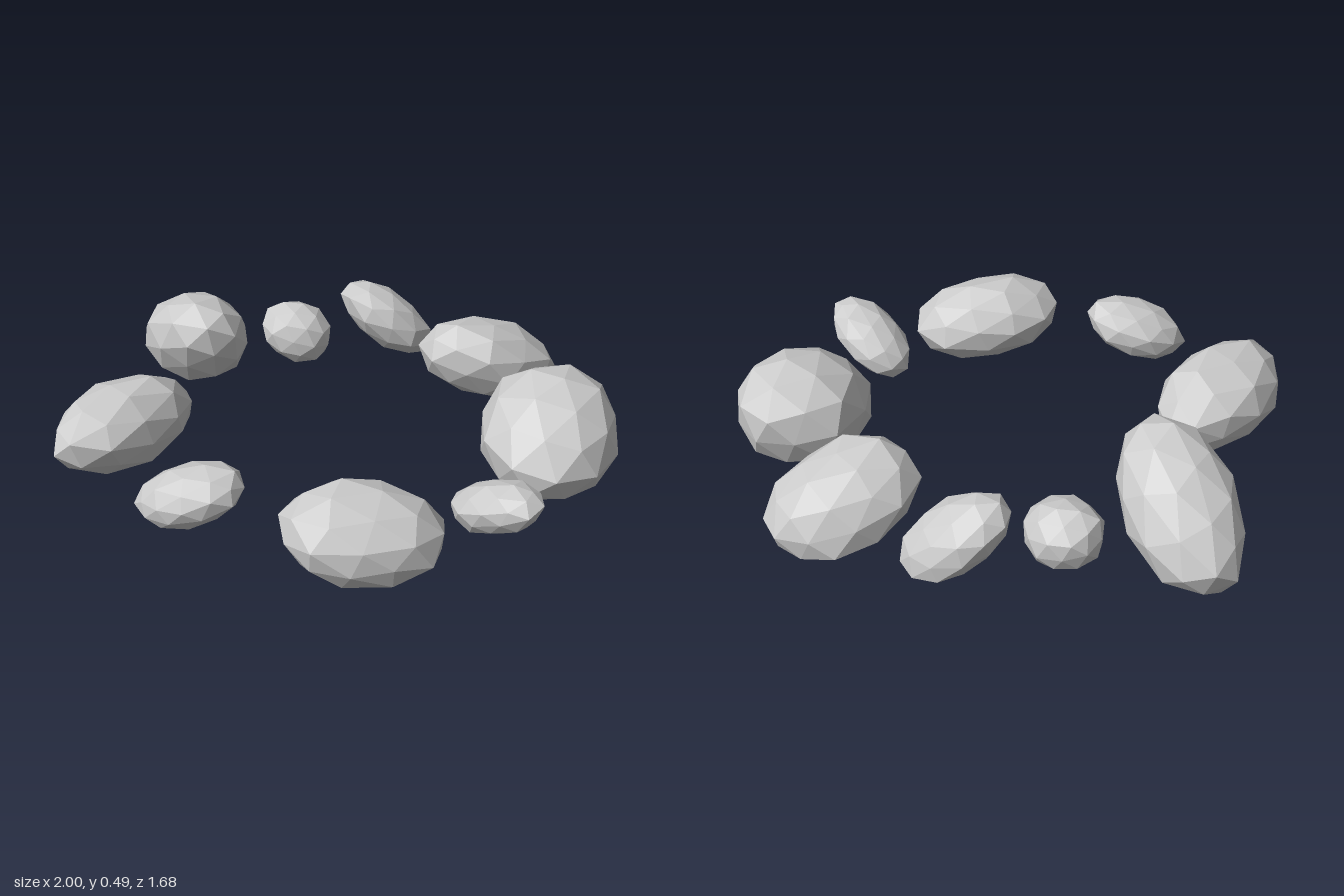
import * as THREE from 'three';
import { mergeVertices } from 'three/addons/utils/BufferGeometryUtils.js';

// Each stone: name, min corner, max corner, lean [xy, xz, yz] from -1 to 1
const STONES = [
  ['rightStone', [0.5, 0.01, -0.3], [1.0, 0.45, 0.26], [0, 0, -0.15]],
  ['backRightStone', [0.22, 0.04, -0.74], [0.76, 0.42, -0.32], [-0.3, -0.25, 0.35]],
  ['backStone', [-0.12, 0.11, -0.84], [0.25, 0.42, -0.58], [-0.55, 0, 0.15]],
  ['smallBackStone', [-0.42, 0.12, -0.73], [-0.15, 0.35, -0.48], [-0.1, 0.1, 0]],
  ['backLeftStone', [-0.89, 0.03, -0.72], [-0.44, 0.5, -0.19], [0.3, 0.42, 0.5]],
  ['leftStone', [-1.0, 0.11, -0.08], [-0.56, 0.43, 0.46], [0, -0.43, 0.1]],
  ['frontLeftStone', [-0.64, 0.16, 0.46], [-0.25, 0.39, 0.72], [0.4, 0, 0]],
  ['frontStone', [-0.12, 0.06, 0.45], [0.43, 0.39, 0.84], [-0.2, -0.15, -0.05]],
  ['smallFrontStone', [0.43, 0.11, 0.3], [0.75, 0.35, 0.58], [0.5, 0.4, 0.4]],
];

function seeded(seed) {
  let s = seed * 7919 + 17;
  return () => (s = (s * 16807) % 2147483647) / 2147483647;
}

// Low-poly ball with uneven radii, leaned and then fitted to its box
function stoneGeometry(min, max, [xy, xz, yz], seed) {
  const rand = seeded(seed);
  for (let i = 0; i < 5; i++) rand();
  let geo = new THREE.IcosahedronGeometry(1, 1);
  geo.deleteAttribute('normal');
  geo.deleteAttribute('uv');
  geo = mergeVertices(geo, 1e-3);
  geo.rotateX(rand() * 6).rotateY(rand() * 6).rotateZ(rand() * 6);

  const k = Math.sqrt(1 - xz * xz);
  const b = (yz - xz * xy) / k;
  const c = Math.sqrt(1 - xy * xy - b * b);
  const size = max.map((m, i) => m - min[i]);
  const pos = geo.attributes.position;
  const p = new THREE.Vector3();
  for (let i = 0; i < pos.count; i++) {
    p.fromBufferAttribute(pos, i).multiplyScalar(0.95 + 0.1 * rand());
    pos.setXYZ(i, p.x, xy * p.x + c * p.y + b * p.z, xz * p.x + k * p.z);
  }

  geo.computeBoundingBox();
  const box = geo.boundingBox;
  const span = box.getSize(new THREE.Vector3());
  geo.translate(-box.min.x, -box.min.y, -box.min.z);
  geo.scale(size[0] / span.x, size[1] / span.y, size[2] / span.z);
  geo.translate(...min);
  geo.computeVertexNormals();
  return geo;
}

export function createModel() {
  const ring = new THREE.Group();
  ring.name = 'stoneRing';
  const material = new THREE.MeshStandardMaterial({ color: 0xcccccc, flatShading: true });
  STONES.forEach(([name, min, max, lean], i) => {
    const stone = new THREE.Mesh(stoneGeometry(min, max, lean, i + 1), material);
    stone.name = name;
    ring.add(stone);
  });
  return ring;
}
